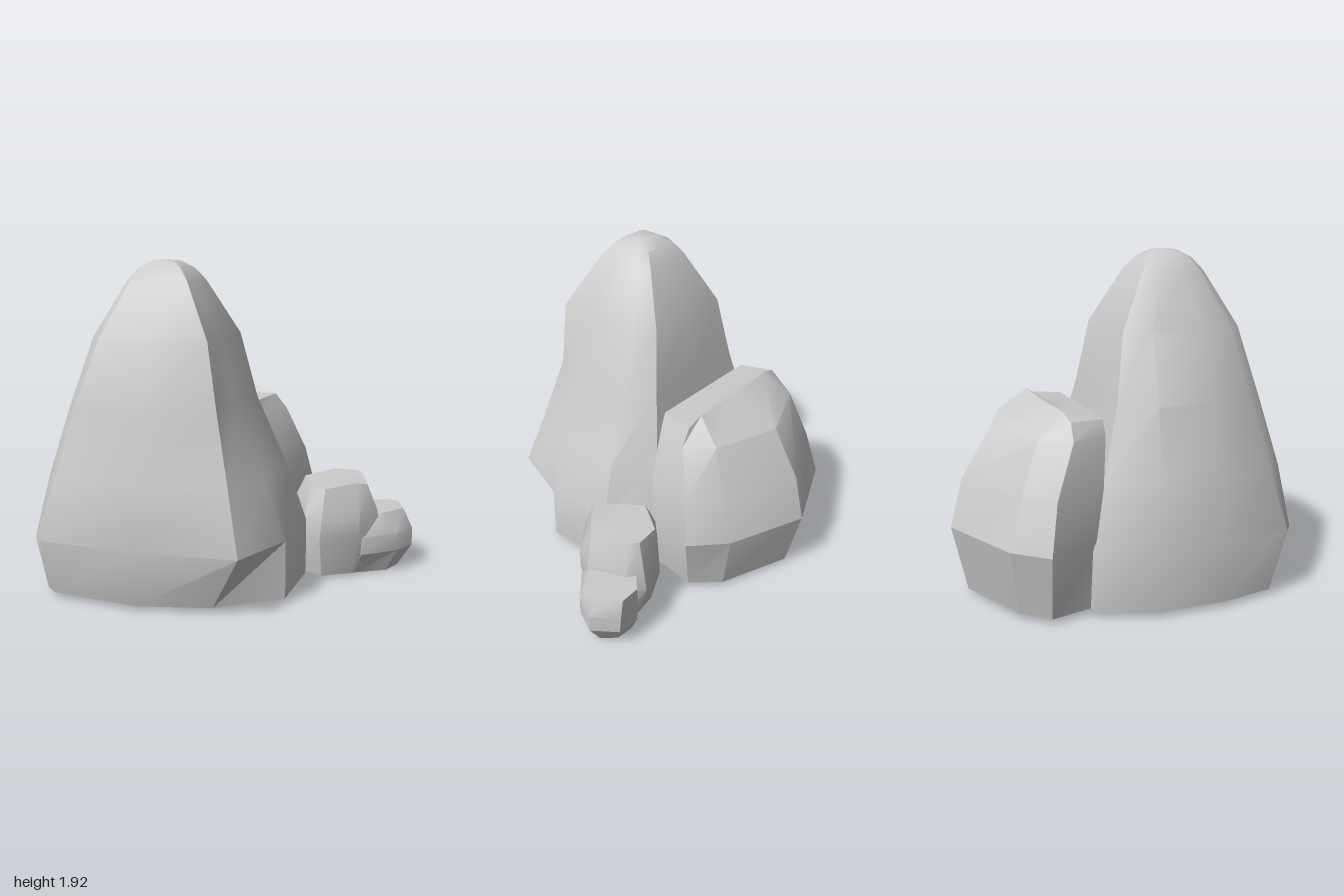
import * as THREE from 'three';
import { toCreasedNormals } from 'three/addons/utils/BufferGeometryUtils.js';

// Skin a stack of rings [height, [[x, z], ...]] and cap both ends
function loft(name, rings, creaseDegrees) {
  const n = rings[0][1].length;
  const positions = [];
  const index = [];
  for (const [y, points] of rings) {
    for (const [x, z, ownY] of points) positions.push(x, ownY ?? y, z);
  }
  for (let r = 0; r < rings.length - 1; r++) {
    for (let i = 0; i < n; i++) {
      const a = r * n + i, b = r * n + (i + 1) % n;
      index.push(a, b, b + n, a, b + n, a + n);
    }
  }
  // end caps as fans around the ring centres
  [0, rings.length - 1].forEach((r, k) => {
    const c = positions.length / 3;
    const mid = [0, 0, 0];
    for (let i = 0; i < n; i++) {
      for (let j = 0; j < 3; j++) mid[j] += positions[(r * n + i) * 3 + j] / n;
    }
    positions.push(...mid);
    for (let i = 0; i < n; i++) {
      const a = r * n + i, b = r * n + (i + 1) % n;
      if (k === 0) index.push(c, b, a);
      else index.push(c, a, b);
    }
  });
  const geometry = new THREE.BufferGeometry();
  geometry.setAttribute('position', new THREE.Float32BufferAttribute(positions, 3));
  geometry.setIndex(index);
  const creased = toCreasedNormals(geometry, THREE.MathUtils.degToRad(creaseDegrees));
  const mesh = new THREE.Mesh(creased, new THREE.MeshStandardMaterial({ color: 0xcccccc }));
  mesh.name = name;
  return mesh;
}

// Shrink a ring towards a centre
const shrink = (points, s, cx, cz) => points.map(([x, z]) => [cx + (x - cx) * s, cz + (z - cz) * s]);

export function createModel() {
  const group = new THREE.Group();
  group.name = 'rockCluster';

  // Tall main rock: front, right, back, then left corners
  const shoulder = [[-0.68, 0.6], [-0.6, 0.69], [-0.33, 0.7], [0.03, 0.66], [0.03, 0.45], [0.03, 0.12],
    [-0.05, 0], [-0.33, -0.02], [-0.62, -0.02], [-0.7, 0.12], [-0.7, 0.42]];
  group.add(loft('tallRock', [
    [0.03, [[-0.94, 0.76], [-0.86, 0.82], [-0.33, 0.85], [0.08, 0.74], [0.42, 0.47], [0.42, 0.03],
      [0.22, -0.22], [-0.33, -0.28], [-0.87, -0.28], [-1, 0.04], [-1, 0.45]]],
    [0.37, [[-0.95, 0.86], [-0.87, 0.92], [-0.33, 0.92], [0.27, 0.86], [0.42, 0.47], [0.42, 0.03],
      [0.22, -0.22], [-0.33, -0.26], [-0.86, -0.28], [-1, 0.04], [-1, 0.45]]],
    [0.72, [[-0.9, 0.76], [-0.8, 0.87], [-0.33, 0.89], [0.18, 0.76], [0.3, 0.48], [0.3, 0.06],
      [0.12, -0.15], [-0.33, -0.17], [-0.76, -0.18], [-0.93, 0.08], [-0.93, 0.45]]],
    [1.12, [[-0.8, 0.67], [-0.72, 0.77], [-0.33, 0.78], [0.08, 0.66], [0.12, 0.48], [0.13, 0.1],
      [0.02, -0.06], [-0.33, -0.08], [-0.69, -0.08], [-0.84, 0.1], [-0.84, 0.45]]],
    [1.5, shoulder],
    [1.81, shrink(shoulder, 0.53, -0.34, 0.34)],
    [1.88, shrink(shoulder, 0.37, -0.34, 0.34)],
    [1.92, shrink(shoulder, 0.18, -0.34, 0.34)],
  ], 38));

  // Round boulder behind: right, back, left, then front corners
  group.add(loft('backBoulder', [
    [0.03, [[0.24, -0.5], [0.1, -0.66], [-0.33, -0.84], [-0.75, -0.66], [-0.88, -0.52], [-0.8, -0.2], [0.2, -0.2]]],
    [0.41, [[0.33, -0.54], [0.14, -0.73], [-0.33, -0.93], [-0.82, -0.73], [-0.98, -0.55], [-0.85, -0.26], [0.23, -0.2]]],
    [0.69, [[0.27, -0.49], [0.12, -0.65], [-0.33, -0.86], [-0.78, -0.65], [-0.92, -0.5], [-0.8, -0.2], [0.2, -0.18]]],
    [0.97, [[0.17, -0.38], [0.06, -0.54], [-0.33, -0.69], [-0.72, -0.54], [-0.83, -0.38], [-0.75, -0.17], [0.08, -0.15]]],
    [1.1, [[0.1, -0.37, 1.06], [0, -0.38], [-0.33, -0.39], [-0.65, -0.38], [-0.76, -0.37, 1.06],
      [-0.7, -0.17, 1.05], [0.05, -0.15, 1.05]]],
  ], 24));

  // Medium rock at the left side
  group.add(loft('mediumRock', [
    [0.02, [[0.4, -0.02], [0.52, 0.03], [0.69, -0.08], [0.76, -0.2], [0.69, -0.39], [0.62, -0.42], [0.48, -0.4], [0.3, -0.27]]],
    [0.26, [[0.41, 0.03], [0.52, 0.09], [0.73, -0.06], [0.83, -0.2], [0.73, -0.43], [0.64, -0.5], [0.47, -0.46], [0.25, -0.26]]],
    [0.4, [[0.41, 0.03], [0.53, 0.08], [0.73, -0.06], [0.81, -0.2], [0.72, -0.42], [0.64, -0.48], [0.48, -0.45], [0.26, -0.25]]],
    [0.58, [[0.42, -0.1, 0.56], [0.53, 0.01, 0.56], [0.69, -0.12], [0.75, -0.18, 0.56], [0.67, -0.39],
      [0.63, -0.44], [0.48, -0.43], [0.34, -0.24, 0.57]]],
  ], 24));

  // Smallest rock at the outer end
  group.add(loft('smallRock', [
    [0, [[0.68, -0.14], [0.86, -0.25], [0.91, -0.37], [0.84, -0.45], [0.74, -0.46], [0.62, -0.36]]],
    [0.14, [[0.74, -0.08], [0.93, -0.24], [1, -0.38], [0.9, -0.52], [0.76, -0.53], [0.6, -0.4]]],
    [0.25, [[0.74, -0.08], [0.93, -0.24], [1, -0.38], [0.9, -0.53], [0.76, -0.53], [0.6, -0.4]]],
    [0.375, [[0.71, -0.17], [0.83, -0.22], [0.94, -0.38], [0.88, -0.53], [0.76, -0.53], [0.62, -0.4]]],
  ], 24));

  return group;
}
